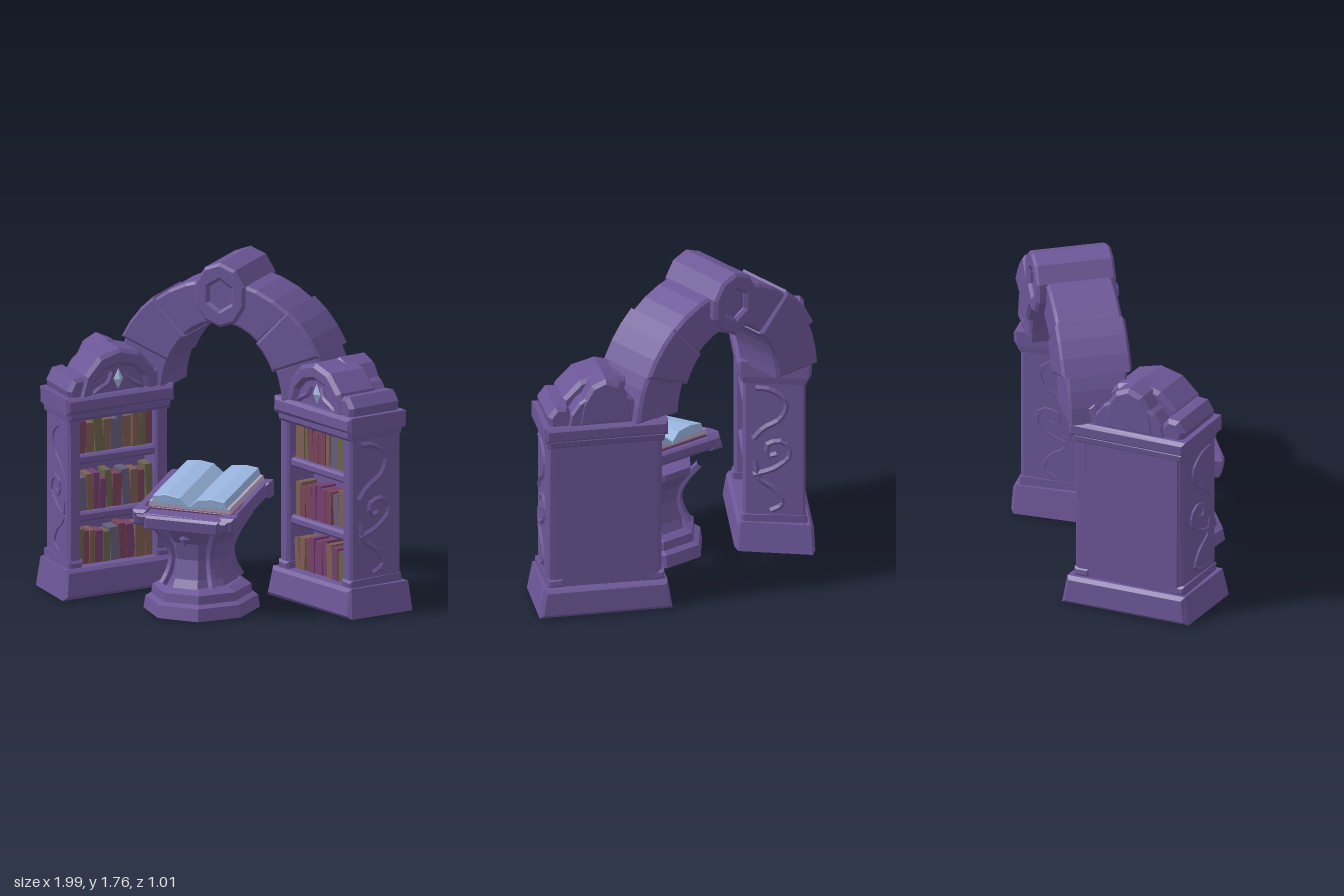
import * as THREE from 'three';

const mat = (name, color) => {
  const m = new THREE.MeshStandardMaterial({ color });
  m.name = name;
  return m;
};
const stone = mat('purple stone', 0x6c5697);
const page = mat('blue page', 0x97b2dc);
const pageEdge = mat('pink page edge', 0xb3a0bd);
const cover = mat('plum cover', 0x6c3f66);
const gemMat = mat('gem blue', 0x9fb4dd);
const spines = [
  mat('maroon book', 0x774358), mat('brown book', 0x7c5d52), mat('olive book', 0x68634c),
  mat('magenta book', 0x743f6e), mat('grey book', 0x645c7a),
];

let seed = 11;
const rnd = () => (seed = (seed * 16807) % 2147483647) / 2147483647;

// Gives every face its own flat normal
function flat(geo) {
  const g = geo.index ? geo.toNonIndexed() : geo;
  g.computeVertexNormals();
  return g;
}

function add(parent, name, geo, material, x = 0, y = 0, z = 0) {
  const m = new THREE.Mesh(geo, material);
  m.name = name;
  m.position.set(x, y, z);
  parent.add(m);
  return m;
}

// Chamfered extrusion of a shape, centred on z
function slab(shape, depth, b = 0.012) {
  const g = new THREE.ExtrudeGeometry(shape, {
    depth: depth - 2 * b, bevelEnabled: true, bevelThickness: b, bevelSize: b,
    bevelOffset: -b, bevelSegments: 1, curveSegments: 7,
  });
  g.translate(0, 0, b - depth / 2);
  return flat(g);
}

const polygon = (pts) => new THREE.Shape(pts.map(([x, y]) => new THREE.Vector2(x, y)));

// Chamfered block with an optional taper to the top and a slight hand-cut wobble
function block(w, h, d, b = 0.012, taper = 0, wobble = 0.004) {
  const g = slab(polygon([[-w / 2, -h / 2], [w / 2, -h / 2], [w / 2, h / 2], [-w / 2, h / 2]]), d, b);
  const p = g.attributes.position;
  for (let i = 0; i < p.count; i++) {
    const x = p.getX(i), y = p.getY(i), z = p.getZ(i);
    const s = 1 - taper * (y / h + 0.5);
    p.setXYZ(i, x * s + wobble * Math.sin(40 * y + 9 * z), y + wobble * Math.sin(11 * x + 23 * z), z * s + wobble * Math.sin(31 * y + 7 * x));
  }
  return flat(g);
}

// Points along an ellipse; an open arc includes its end point
function ringPoints(n, rx, ry, from = 0, to = Math.PI * 2, closed = true) {
  return Array.from({ length: closed ? n : n + 1 }, (_, i) => {
    const a = from + (to - from) * i / n;
    return [rx * Math.cos(a), ry * Math.sin(a)];
  });
}

// Band between two elliptical arcs
const arcBand = (a0, a1, ro, ri, n) => polygon([
  ...ringPoints(n, ro[0], ro[1], a0, a1, false), ...ringPoints(n, ri[0], ri[1], a1, a0, false),
]);
const dome = (n, rx, ry) => polygon(ringPoints(n, rx, ry, 0, Math.PI, false));

function tube(pts, r) {
  const c = new THREE.CatmullRomCurve3(pts.map((p) => new THREE.Vector3(...p)));
  return flat(new THREE.TubeGeometry(c, 14, r, 5));
}

// A bookcase whose plan is set by two floor directions: along its width and out of its front.
// Each row is a string of spine colour numbers, bottom shelf first.
function bookcase(name, x, z, along, out, rows) {
  const g = new THREE.Group();
  g.name = name;
  g.position.set(x, 0, z);

  // Plinth, carcass and mouldings
  add(g, 'plinth', block(0.7, 0.155, 0.42, 0.018, 0.07), stone, 0, 0.08, 0);
  add(g, 'backPanel', block(0.57, 0.82, 0.165), stone, 0, 0.55, -0.082);
  for (const s of [-1, 1]) {
    add(g, 'pillar', block(0.075, 0.82, 0.32, 0.014), stone, s * 0.262, 0.55, 0);
    add(g, 'pillarFoot', block(0.085, 0.05, 0.34), stone, s * 0.265, 0.175, 0);
  }
  add(g, 'lintel', block(0.52, 0.04, 0.29), stone, 0, 0.955, 0);
  add(g, 'lowerMoulding', block(0.61, 0.06, 0.35, 0.016, -0.03), stone, 0, 0.965, 0);
  add(g, 'cornice', block(0.65, 0.085, 0.385, 0.018), stone, 0, 1.02, 0);

  // Shelf boards and the rows of books
  for (const y of [0.42, 0.725]) add(g, 'shelfBoard', block(0.49, 0.05, 0.17), stone, 0, y, 0.06);
  rows.forEach((row, r) => {
    const widths = [...row].map(() => 0.7 + rnd() * 0.6);
    const unit = 0.45 / widths.reduce((a, b) => a + b, 0);
    let bx = -0.225;
    widths.forEach((k, i) => {
      const w = k * unit, h = 0.155 + rnd() * 0.045;
      const book = add(g, 'shelvedBook', new THREE.BoxGeometry(w - 0.002, h, 0.10), spines[row[i]],
        bx + w / 2, [0.157, 0.445, 0.75][r] + h / 2, 0.058 + rnd() * 0.015);
      book.rotation.z = rnd() < 0.25 ? 0.07 : -0.01;
      bx += w;
    });
  });

  // Arched pediment with gem, rear block and end scrolls
  add(g, 'pedimentFill', slab(dome(8, 0.2, 0.19), 0.32), stone, 0, 1.05, -0.01);
  add(g, 'pedimentHood', slab(arcBand(0, Math.PI, [0.24, 0.245], [0.165, 0.155], 6), 0.25, 0.02), stone, 0, 1.05, 0.05);
  add(g, 'pedimentRear', slab(dome(6, 0.15, 0.255), 0.2, 0.02), stone, 0, 1.05, -0.075);
  const gem = add(g, 'pedimentGem', flat(new THREE.OctahedronGeometry(0.05)), gemMat, 0, 1.13, 0.152);
  gem.scale.set(0.6, 1.1, 0.4);
  for (const s of [-1, 1]) {
    const leaf = tube([[s * 0.04, 1.17, 0.15], [s * 0.065, 1.12, 0.155], [s * 0.12, 1.09, 0.155], [s * 0.15, 1.07, 0.15]], 0.015);
    add(g, 'gemLeaf', leaf, stone);
    add(g, 'endScroll', slab(polygon(ringPoints(7, 0.07, 0.085, 0.3, 0.3 + Math.PI * 2)), 0.32, 0.02), stone, s * 0.235, 1.085, 0);
  }

  // Carved vines on both outer sides
  const vines = [
    [[0.1, 0.91], [0.02, 0.9], [-0.06, 0.83], [-0.03, 0.74], [0.06, 0.68], [0.11, 0.62]],
    [[0.11, 0.42], [0.0, 0.46], [-0.08, 0.54], [-0.04, 0.61], [0.04, 0.59], [0.03, 0.53], [-0.01, 0.54]],
    [[0.1, 0.5], [0.08, 0.4], [0.0, 0.34], [-0.04, 0.26], [0.02, 0.22]],
  ];
  for (const s of [-1, 1]) {
    for (const v of vines) {
      add(g, 'carvedVine', tube(v.map(([vz, vy]) => [0, vy, vz]), 0.017), stone, s * 0.294, 0, 0);
    }
  }

  // Lay the parts out along the two floor directions
  const basis = new THREE.Matrix4().makeBasis(
    new THREE.Vector3(along[0], 0, along[1]), new THREE.Vector3(0, 1, 0), new THREE.Vector3(out[0], 0, out[1]),
  );
  for (const m of g.children) {
    m.updateMatrix();
    m.geometry.applyMatrix4(m.matrix).applyMatrix4(basis);
    m.geometry.computeVertexNormals();
    m.position.set(0, 0, 0);
    m.rotation.set(0, 0, 0);
    m.scale.set(1, 1, 1);
  }
  return g;
}

function archway() {
  const g = new THREE.Group();
  g.name = 'archway';
  g.position.set(-0.045, 1.02, -0.275);
  // Voussoirs, three on each side
  const cuts = [80, 52, 27, 4], swell = [0.985, 1.005, 0.98], depth = [0.35, 0.37, 0.32];
  for (const s of [-1, 1]) {
    for (let i = 0; i < 3; i++) {
      const toRad = (d) => THREE.MathUtils.degToRad(s > 0 ? d : 180 - d);
      let a0 = toRad(cuts[i + 1] - 0.7), a1 = toRad(cuts[i] + 0.7);
      if (s < 0) [a0, a1] = [a1, a0];
      const k = swell[i];
      add(g, 'archStone', slab(arcBand(a0, a1, [0.62 * k, 0.65 * k], [0.325 / k, 0.41 / k], 3), depth[i], 0.015), stone);
    }
  }
  // Round keystone with a sunken hexagon at both ends
  const rim = polygon(ringPoints(10, 0.147, 0.172, Math.PI / 10, Math.PI * 2.1));
  rim.holes.push(new THREE.Path(ringPoints(6, 0.072, 0.08, Math.PI / 6, Math.PI * 13 / 6).map((p) => new THREE.Vector2(...p))));
  add(g, 'keystone', slab(rim, 0.42, 0.015), stone, 0, 0.565, -0.015);
  add(g, 'keystoneCore', slab(polygon(ringPoints(8, 0.1, 0.11)), 0.37), stone, 0, 0.565, -0.015);
  return g;
}

function lectern() {
  const g = new THREE.Group();
  g.name = 'lectern';
  g.position.set(-0.02, 0, 0.2);

  // Eight-sided stepped foot and flared stem, deeper than wide
  const turned = (name, pts, deep) => {
    const geo = new THREE.LatheGeometry(pts.map((p) => new THREE.Vector2(...p)), 8, Math.PI / 8);
    geo.scale(1, 1, deep);
    add(g, name, flat(geo), stone);
  };
  turned('foot', [[0, 0], [0.295, 0], [0.285, 0.065], [0.255, 0.08], [0.25, 0.125], [0.2, 0.15], [0, 0.155]], 1.12);
  turned('stem', [[0, 0.14], [0.185, 0.14], [0.165, 0.19], [0.148, 0.29], [0.165, 0.38], [0.215, 0.46], [0.22, 0.5], [0, 0.53]], 1.28);
  for (const sx of [-1, 1]) {
    for (const sz of [-1, 1]) {
      const rib = [[0.14, 0.15], [0.115, 0.22], [0.105, 0.3], [0.13, 0.39], [0.175, 0.48]];
      add(g, 'stemRib', tube(rib.map(([r, y]) => [sx * r, y, sz * r * 1.28]), 0.022), stone);
    }
  }
  const diamond = add(g, 'stemDiamond', flat(new THREE.OctahedronGeometry(0.045)), stone, 0, 0.41, 0.22);
  diamond.scale.set(0.7, 1, 0.5);

  // Sloping desk with raised rim
  const desk = new THREE.Group();
  desk.name = 'desk';
  desk.position.set(0.005, 0.555, -0.01);
  desk.rotation.x = 0.19;
  g.add(desk);
  add(desk, 'deskBoard', block(0.5, 0.07, 0.55, 0.015, -0.06), stone, 0, 0, 0);
  add(desk, 'frontLedge', block(0.42, 0.08, 0.05), stone, 0, -0.005, 0.275);
  for (const s of [-1, 1]) {
    add(desk, 'sideRim', block(0.035, 0.07, 0.46), stone, s * 0.258, 0.012, 0);
    for (const t of [-1, 1]) add(desk, 'cornerBlock', block(0.08, 0.09, 0.09, 0.015), stone, s * 0.245, 0.002, t * 0.23);
  }

  // Open book: cover, lower leaves and bowed upper leaves
  const book = new THREE.Group();
  book.name = 'openBook';
  book.position.set(0.014, 0.034, -0.02);
  desk.add(book);
  add(book, 'bookCover', block(0.49, 0.014, 0.46, 0.003, 0, 0), cover, 0, 0.005, 0);
  for (const s of [-1, 1]) {
    const half = (pts, d) => slab(polygon(s > 0 ? pts : pts.map(([x, y]) => [-x, y]).reverse()), d, 0.002);
    add(book, 'lowerLeaves', half([[0, 0], [0.232, 0], [0.226, 0.03], [0.05, 0.03], [0, 0.006]], 0.44), pageEdge, 0, 0.01, 0);
    add(book, 'upperLeaves', half([[0, 0.004], [0.05, 0.02], [0.212, 0.024], [0.2, 0.066], [0.13, 0.075], [0.05, 0.064], [0, 0.02]], 0.448),
      page, 0, 0.01, 0);
  }
  return g;
}

export function createModel() {
  const model = new THREE.Group();
  model.name = 'libraryArch';
  model.add(
    bookcase('leftBookcase', 0.597, -0.168, [0.88, 0.475], [-0.485, 0.875], ['1103331321', '1003330412', '1120001422']),
    bookcase('rightBookcase', -0.655, -0.035, [0.572, -0.82], [0.72, 0.7], ['2013240311', '4133204102', '0121441120']),
    archway(),
    lectern(),
  );
  return model;
}
